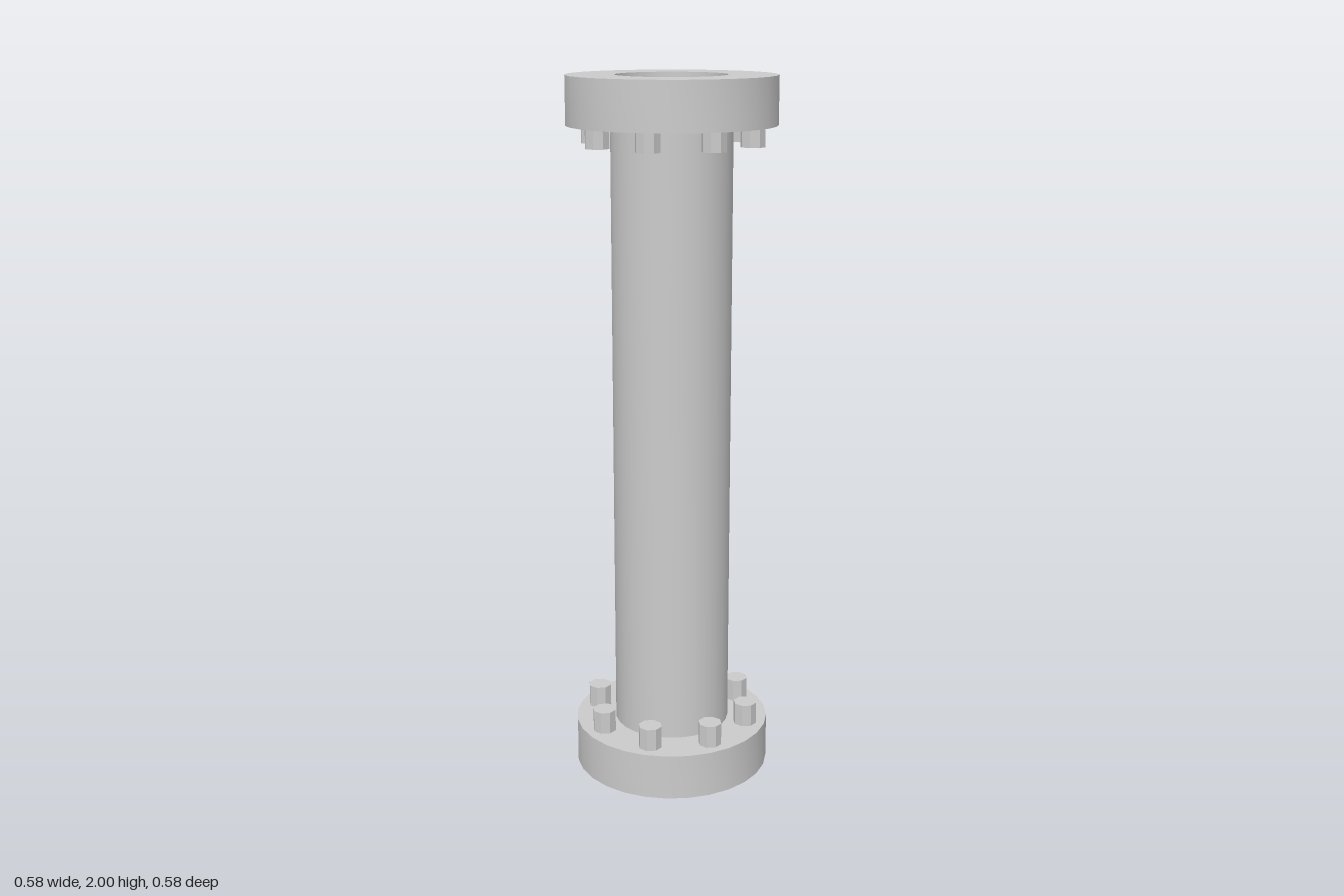
import * as THREE from 'three';
import { toCreasedNormals } from 'three/addons/utils/BufferGeometryUtils.js';

const SIDES = 28;
const BORE = 0.153;
const PIPE_RADIUS = 0.167;
const BOLT_COUNT = 8;
const BOLT_CIRCLE = 0.225;
const BOLT_RADIUS = 0.034;

const material = new THREE.MeshStandardMaterial({ color: 0xcccccc });

function addMesh(parent, name, geometry) {
  const mesh = new THREE.Mesh(toCreasedNormals(geometry, Math.PI / 5), material);
  mesh.name = name;
  parent.add(mesh);
  return mesh;
}

// Hollow ring with a rectangular section between two heights
function ring(outer, y0, y1) {
  const section = [[BORE, y0], [outer, y0], [outer, y1], [BORE, y1], [BORE, y0]];
  return new THREE.LatheGeometry(section.map(([r, y]) => new THREE.Vector2(r, y)), SIDES);
}

// Flange disc with a circle of bolts on its inner face
function addFlange(parent, name, radius, y0, y1, boltY0, boltY1) {
  const flange = new THREE.Group();
  flange.name = name;
  addMesh(flange, name + 'Disc', ring(radius, y0, y1));
  for (let i = 0; i < BOLT_COUNT; i++) {
    const angle = (i / BOLT_COUNT) * Math.PI * 2;
    const bolt = addMesh(flange, name + 'Bolt',
      new THREE.CylinderGeometry(BOLT_RADIUS, BOLT_RADIUS, boltY1 - boltY0, 8));
    bolt.position.set(Math.sin(angle) * BOLT_CIRCLE, (boltY0 + boltY1) / 2, Math.cos(angle) * BOLT_CIRCLE);
  }
  parent.add(flange);
}

export function createModel() {
  const model = new THREE.Group();
  model.name = 'flangedPipe';
  addMesh(model, 'pipe', ring(PIPE_RADIUS, 0.132, 1.868));
  addFlange(model, 'bottomFlange', 0.283, 0, 0.132, 0.12, 0.197);
  addFlange(model, 'topFlange', 0.288, 1.868, 2, 1.814, 1.88);
  return model;
}
